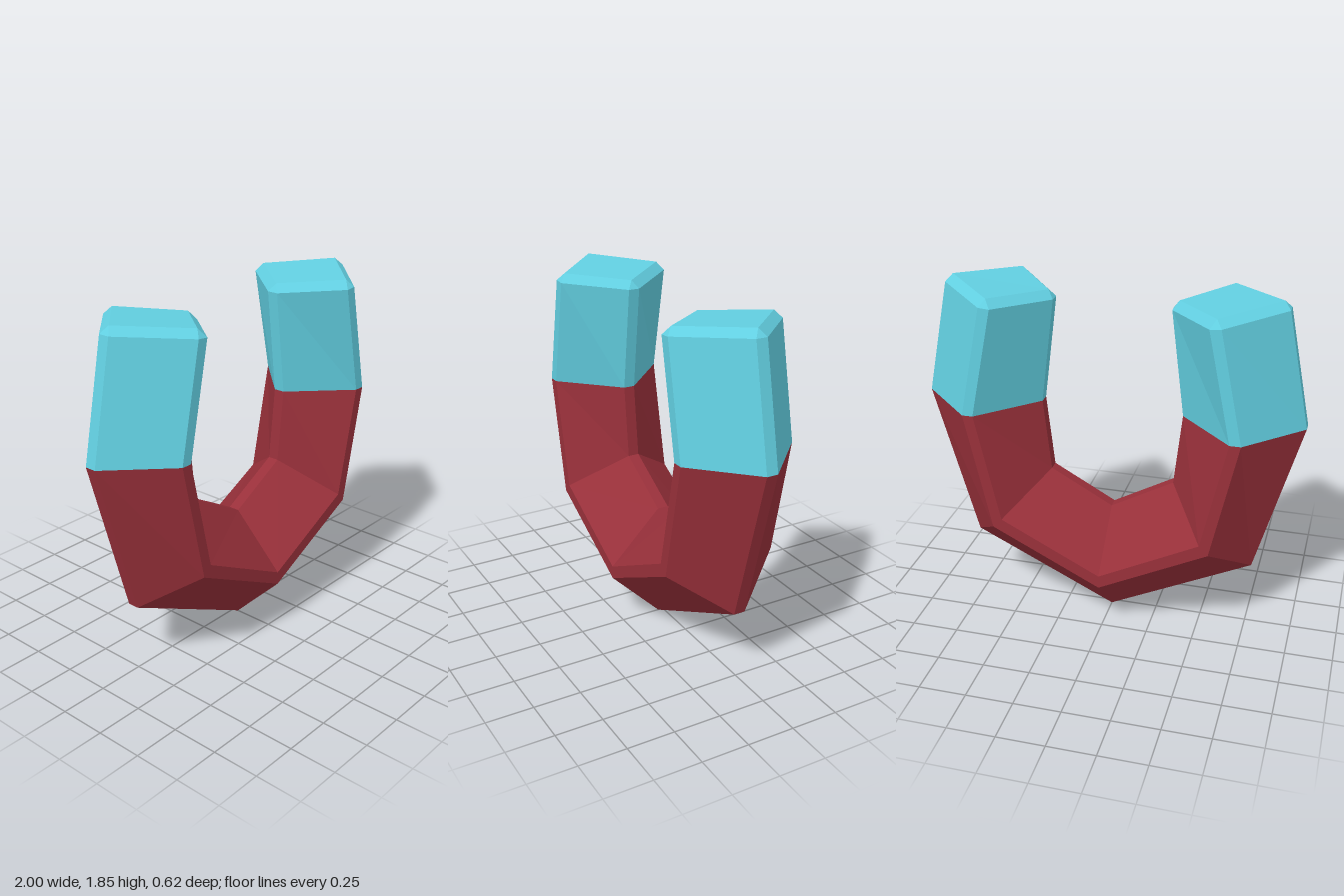
import * as THREE from 'three';

// Each station lists [x, y, z] for half a section: outer edge, front outer, front inner, inner edge
const EDGE = 0.03, FACE = 0.31;
const station = (o, fo, fi, i, ze = EDGE, zf = FACE) => [[...o, ze], [...fo, zf], [...fi, zf], [...i, ze]];
const bottom = station([0, 0], [0, 0.28], [0, 0.35], [0, 0.63]);
const corner = station([0.77, 0.375], [0.578, 0.57], [0.53, 0.62], [0.333, 0.815]);
const seam = station([1, 1.205], [0.715, 1.205], [0.658, 1.205], [0.375, 1.205]);
const tip = station([0.878, 1.812], [0.595, 1.79], [0.538, 1.785], [0.305, 1.765]);
const cap = station([0.845, 1.85], [0.567, 1.828], [0.567, 1.828], [0.335, 1.807], 0, 0.277);

const mirror = (s) => s.map(([x, y, z]) => [-x, y, z]);

// Complete the half section with its back half
const ring = (s) => [...s, ...s.map(([x, y, z]) => [x, y, -z]).reverse()].map((p) => new THREE.Vector3(...p));

// Faceted loft through the stations, running from -x to +x
function loft(stations, capStart, capEnd) {
  const rings = stations.map(ring);
  const pos = [];
  const tri = (a, b, c) => {
    if (new THREE.Triangle(a, b, c).getArea() > 1e-7) for (const p of [a, b, c]) pos.push(p.x, p.y, p.z);
  };
  for (let k = 0; k < rings.length - 1; k++) {
    const A = rings[k], B = rings[k + 1];
    for (let i = 0; i < 8; i++) {
      const j = (i + 1) % 8;
      tri(A[i], B[i], B[j]);
      tri(A[i], B[j], A[j]);
    }
  }
  const first = rings[0], last = rings[rings.length - 1];
  for (let i = 1; i < 7; i++) {
    if (capStart) tri(first[0], first[i], first[i + 1]);
    if (capEnd) tri(last[0], last[i + 1], last[i]);
  }
  const geo = new THREE.BufferGeometry();
  geo.setAttribute('position', new THREE.Float32BufferAttribute(pos, 3));
  geo.computeVertexNormals();
  return geo;
}

export function createModel() {
  const red = new THREE.MeshStandardMaterial({ color: 0x98303a });
  red.name = 'magnet red';
  const cyan = new THREE.MeshStandardMaterial({ color: 0x62cfe1 });
  cyan.name = 'pole cyan';

  const group = new THREE.Group();
  group.name = 'horseshoeMagnet';
  const add = (name, geo, mat) => {
    const mesh = new THREE.Mesh(geo, mat);
    mesh.name = name;
    group.add(mesh);
  };

  // Curved red body
  add('body', loft([mirror(seam), mirror(corner), bottom, corner, seam]), red);
  // Bevelled pole tips
  add('leftPole', loft([seam, tip, cap], false, true), cyan);
  add('rightPole', loft([cap, tip, seam].map(mirror), true, false), cyan);
  return group;
}
